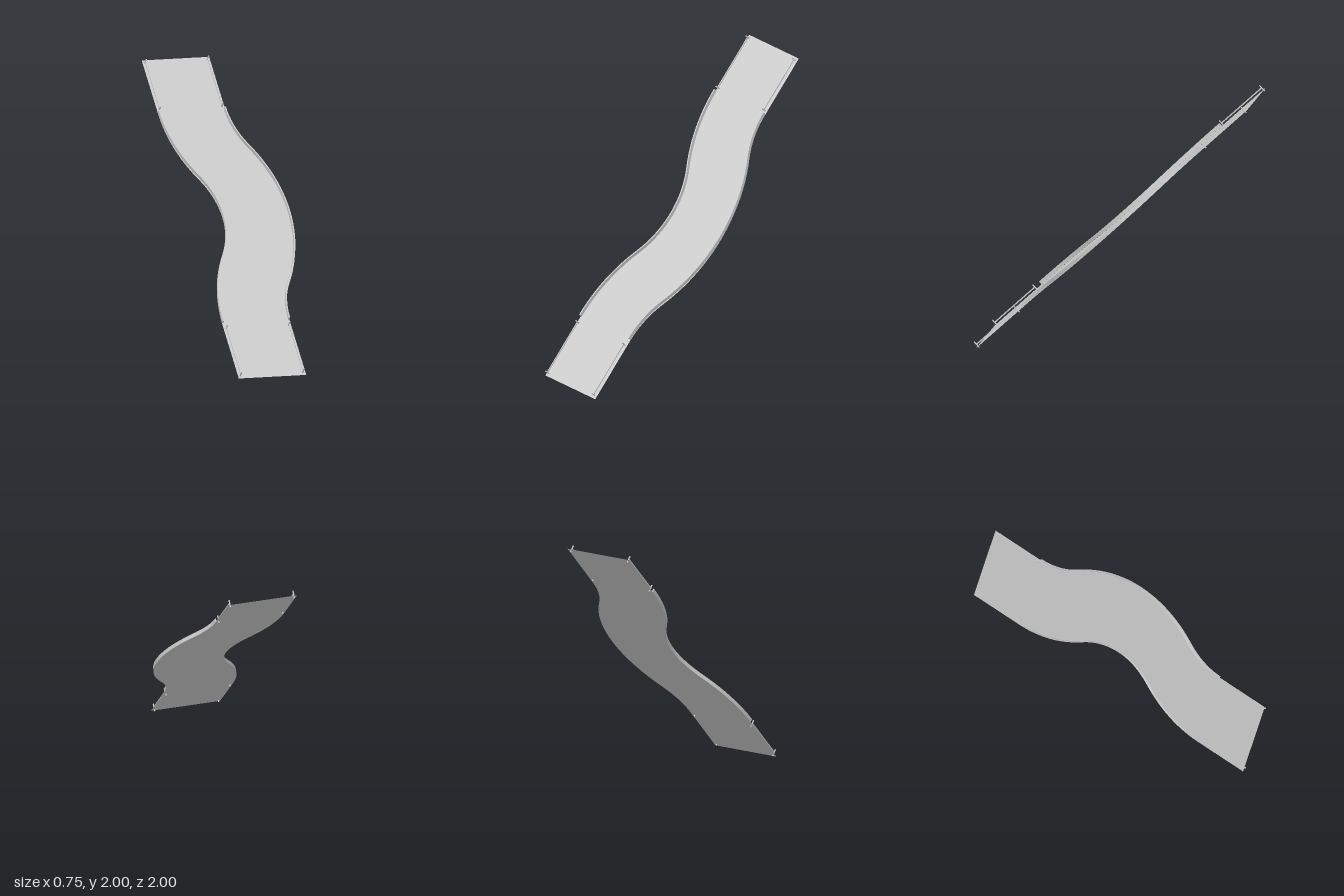
import * as THREE from 'three';

const HALF_LENGTH = 1.4035; // half of the deck measured along the slope
const HALF_CURVE = 0.93;    // half of the winding stretch
const HALF_WIDTH = 0.2525;
const START_X = -0.1225;    // centre line of the straight ends
const SWAY = 0.24;          // sideways shift at the middle of the bend
const ANGLE = 2 * Math.atan(SWAY / HALF_CURVE);
const RADIUS = HALF_CURVE / (2 * Math.sin(ANGLE));

// Points of a line running parallel to the centre line through the four arcs
function bendLine(offset, steps = 12) {
  const lower = [];
  for (let i = 0; i <= 2 * steps; i++) {
    const first = i <= steps;
    const a = ANGLE * (first ? i : 2 * steps - i) / steps;
    const bulge = RADIUS * (1 - Math.cos(a));
    const x = first ? START_X + bulge : START_X + SWAY - bulge;
    const y = first ? -HALF_CURVE + RADIUS * Math.sin(a) : -RADIUS * Math.sin(a);
    lower.push(new THREE.Vector2(x + offset * Math.cos(a), y - offset * Math.sin(a)));
  }
  const upper = lower.slice(0, -1).reverse().map(p => new THREE.Vector2(p.x, -p.y));
  return [...lower, ...upper];
}

export function createModel() {
  const model = new THREE.Group();
  model.name = 'windingRamp';
  const ramp = new THREE.Group();
  ramp.name = 'slopedRamp';
  model.add(ramp);

  const grey = new THREE.MeshStandardMaterial({ color: 0xcccccc });
  const thin = new THREE.MeshStandardMaterial({ color: 0xcccccc, side: THREE.DoubleSide });
  const add = (name, geometry, material, x = 0, y = 0, z = 0) => {
    const mesh = new THREE.Mesh(geometry, material);
    mesh.name = name;
    mesh.position.set(x, y, z);
    ramp.add(mesh);
    return mesh;
  };

  // Flat deck: straight ends joined by the bend
  const right = START_X + HALF_WIDTH, left = START_X - HALF_WIDTH;
  const deck = new THREE.Shape([
    new THREE.Vector2(right, -HALF_LENGTH),
    ...bendLine(HALF_WIDTH),
    new THREE.Vector2(right, HALF_LENGTH),
    new THREE.Vector2(left, HALF_LENGTH),
    ...bendLine(-HALF_WIDTH).reverse(),
    new THREE.Vector2(left, -HALF_LENGTH),
  ]);
  add('deck', new THREE.ShapeGeometry(deck), thin);

  // Low walls following both edges of the bend
  for (const side of [-1, 1]) {
    const wall = new THREE.Shape([
      ...bendLine(side * (HALF_WIDTH - 0.001)),
      ...bendLine(side * (HALF_WIDTH - 0.01)).reverse(),
    ]);
    add('curvedWall', new THREE.ExtrudeGeometry(wall, { depth: 0.026, bevelEnabled: false }),
      grey, 0, 0.015, 0.001);
  }

  // Posts and rails along the straight ends
  const postGeometry = new THREE.CylinderGeometry(0.005, 0.005, 0.054, 8).rotateX(Math.PI / 2);
  const railGeometry = new THREE.BoxGeometry(0.006, 1.383 - 0.965, 0.009);
  for (const x of [left + 0.017, right - 0.021]) {
    for (const end of [-1, 1]) {
      add('rail', railGeometry, grey, x, end * 1.174, 0.018);
      for (const y of [0.965, 1.38]) add('post', postGeometry, grey, x, end * y, 0.015);
    }
  }

  // Lean the whole ramp back to a 45 degree slope
  ramp.rotation.x = -Math.PI / 4;
  ramp.position.set(0, 0.9925, -0.0075);
  return model;
}
